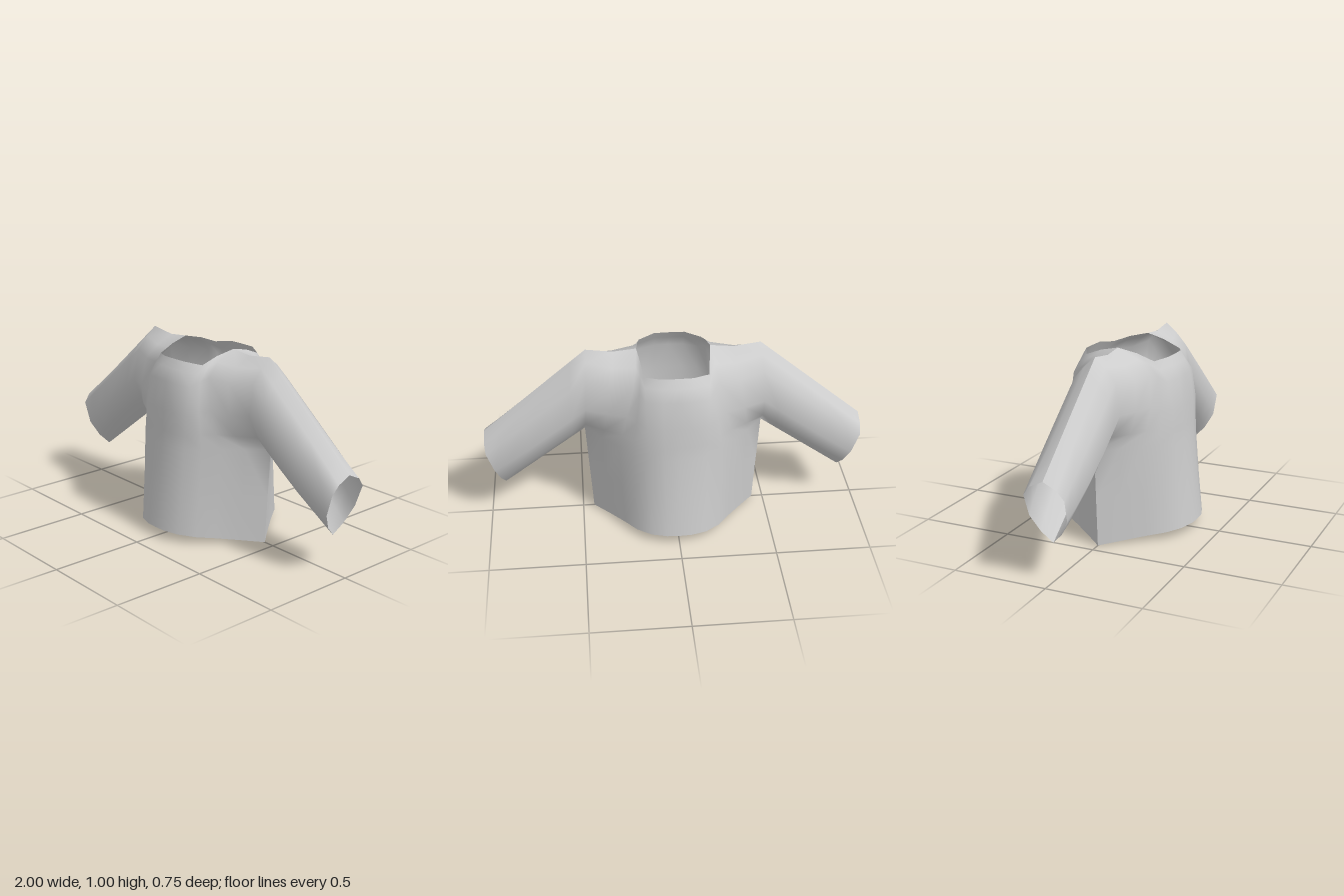
import * as THREE from 'three';

// Key lines of one quarter, from the centre line out to the side seam: [x, y]
const HEM = [[0, .05], [.065, .05], [.145, .046], [.22, .038], [.28, .027], [.36, .013], [.44, 0]];
const CHEST = [[0, .5], [.07, .5], [.15, .505], [.23, .51], [.3, .515], [.385, .52], [.47, .52]];
const TOP = [[0, .94], [.08, .94], [.165, .93], [.176, .965], [.19, .988], [.31, .976], [.45, .995]];

// Depth of each row, hem to neckline and shoulder
const DEPTH = [
  [.375, .372, .345, .285, .2, .097, 0],
  [.345, .342, .32, .265, .19, .096, 0],
  [.322, .32, .3, .25, .185, .1, 0],
  [.318, .315, .296, .25, .2, .15, .09],
  [.312, .31, .292, .25, .212, .178, .14],
  [.295, .292, .268, .225, .19, .16, .112],
  [.262, .26, .224, .165, .115, .09, .055],
  [.237, .235, .19, .1, 0, 0, 0],
];
const RISE = [0, .17, .42, .76, .9, 1];      // heights of the rows above the armpit
const CUFF_DEPTH = [0, .055, .1, .107, .07, 0];
const SLEEVE = [.15, .35, .6, .85, 1];       // rings along the sleeve
const ROWS = DEPTH.length, ARMPIT = 2, SIDE = 6, END = SIDE + SLEEVE.length;
const lerp = THREE.MathUtils.lerp;

function torsoPoint(col, row) {
  const below = row < ARMPIT;
  const from = below ? HEM[col] : CHEST[col];
  const to = below ? CHEST[col] : TOP[col];
  const f = below ? row / ARMPIT : RISE[row - ARMPIT];
  return [lerp(from[0], to[0], f), lerp(from[1], to[1], f), DEPTH[row][col]];
}

// The sleeve keeps its fullness and narrows close to the cuff
function sleevePoint(col, row) {
  const t = SLEEVE[col - SIDE - 1], k = row - ARMPIT, f = RISE[k];
  const [x, y, z] = torsoPoint(SIDE, row);
  const cuffX = Math.min(1, .91 + .11 * f), cuffY = lerp(.198, .533, f);
  return [lerp(x, cuffX, t), lerp(y, cuffY, t), lerp(z, CUFF_DEPTH[k], t ** 3)];
}

// One panel, cuff to cuff; side is 1 for the front and -1 for the back
function panel(side) {
  const positions = [], index = [], ids = new Map();
  for (let c = -END; c <= END; c++) {
    const col = Math.abs(c);
    for (let r = col > SIDE ? ARMPIT : 0; r < ROWS; r++) {
      const [x, y, z] = col > SIDE ? sleevePoint(col, r) : torsoPoint(col, r);
      ids.set(c + ',' + r, positions.length / 3);
      positions.push(Math.sign(c) * x, y, side * z);
    }
  }
  for (let c = -END; c < END; c++) {
    for (let r = 0; r < ROWS - 1; r++) {
      const a = ids.get(c + ',' + r), b = ids.get((c + 1) + ',' + r);
      if (a === undefined || b === undefined) continue;
      const d = ids.get((c + 1) + ',' + (r + 1)), e = ids.get(c + ',' + (r + 1));
      // mirror the diagonals left to right
      const tris = c < 0 ? [a, b, d, a, d, e] : [a, b, e, b, d, e];
      if (side < 0) tris.reverse();
      index.push(...tris);
    }
  }
  const geometry = new THREE.BufferGeometry();
  geometry.setAttribute('position', new THREE.Float32BufferAttribute(positions, 3));
  geometry.setIndex(index);
  geometry.computeVertexNormals();
  return geometry;
}

export function createModel() {
  const group = new THREE.Group();
  group.name = 'sweater';
  const cloth = new THREE.MeshStandardMaterial({ color: 0xcccccc, side: THREE.DoubleSide });
  cloth.name = 'grey cloth';
  for (const [name, side] of [['frontPanel', 1], ['backPanel', -1]]) {
    const mesh = new THREE.Mesh(panel(side), cloth);
    mesh.name = name;
    group.add(mesh);
  }
  return group;
}
